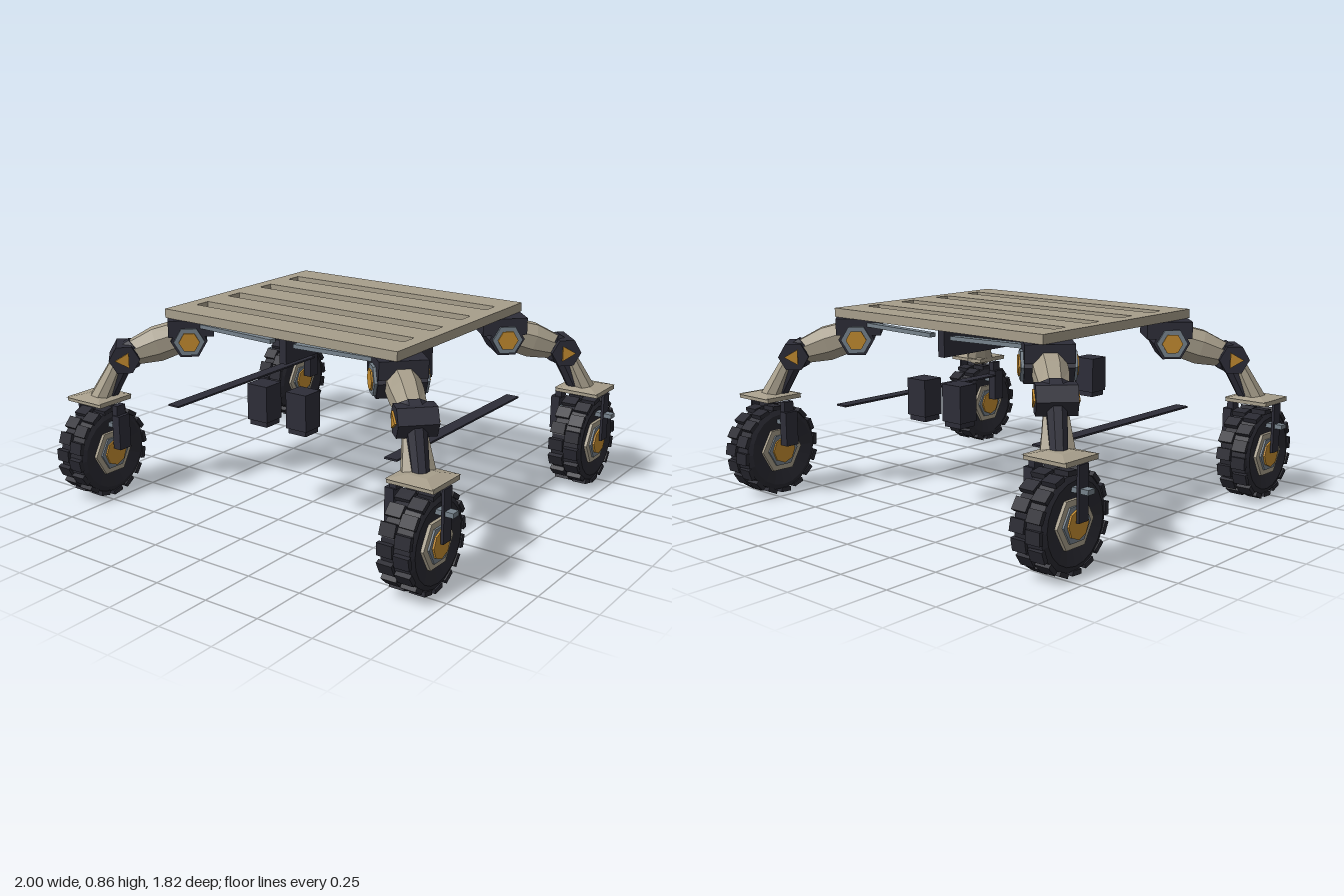
import * as THREE from 'three';

const paint = (name, color) => Object.assign(new THREE.MeshStandardMaterial({ color, flatShading: true }), { name });

export function createModel() {
  const beige = paint('beige panels', 0xa79e8b);
  const dark = paint('dark metal', 0x2d2d38);
  const tyreMat = paint('tyre rubber', 0x292931);
  const steel = paint('blue grey steel', 0x76828c);
  const orange = paint('orange caps', 0xc48c30);
  const model = new THREE.Group();
  model.name = 'rover';

  const add = (parent, name, geo, mat, x = 0, y = 0, z = 0) => {
    const m = new THREE.Mesh(geo, mat);
    m.name = name;
    m.position.set(x, y, z);
    parent.add(m);
    return m;
  };
  const box = (parent, name, mat, w, h, d, x, y, z) =>
    add(parent, name, new THREE.BoxGeometry(w, h, d), mat, x, y, z);
  // Prism lying along x
  const axle = (parent, name, mat, r, len, sides, x = 0, y = 0, z = 0) =>
    add(parent, name, new THREE.CylinderGeometry(r, r, len, sides).rotateZ(Math.PI / 2), mat, x, y, z);
  // Faceted limb between two points, with [halfWidth, halfDepth] at equal steps
  const limb = (parent, name, mat, from, to, rings) => {
    const a = new THREE.Vector3(...from), b = new THREE.Vector3(...to);
    const n = rings.length - 1;
    const geo = new THREE.CylinderGeometry(1, 1, 1, 8, n).rotateY(Math.PI / 8);
    const p = geo.attributes.position;
    for (let i = 0; i < p.count; i++) {
      const [w, d] = rings[Math.round((p.getY(i) + 0.5) * n)];
      p.setX(i, p.getX(i) * w);
      p.setZ(i, p.getZ(i) * d);
    }
    geo.scale(1, a.distanceTo(b), 1);
    const m = add(parent, name, geo, mat);
    m.position.copy(a).add(b).multiplyScalar(0.5);
    m.quaternion.setFromUnitVectors(new THREE.Vector3(0, 1, 0), b.sub(a).normalize());
    return m;
  };

  // Slotted deck
  const outline = new THREE.Shape();
  const rect = (path, x, z0, z1) => path.moveTo(-x, z0).lineTo(x, z0).lineTo(x, z1).lineTo(-x, z1).closePath();
  rect(outline, 0.61, -0.51, 0.51);
  for (const [z0, z1] of [[-0.37, -0.295], [-0.155, -0.075], [0.075, 0.155], [0.295, 0.37]]) {
    const slot = new THREE.Path();
    rect(slot, 0.55, z0, z1);
    outline.holes.push(slot);
  }
  const deck = new THREE.ExtrudeGeometry(outline, { depth: 0.04, bevelEnabled: false }).rotateX(-Math.PI / 2);
  add(model, 'deck', deck, beige, 0, 0.815, 0);
  box(model, 'centreBeam', dark, 0.036, 0.125, 0.9, 0, 0.7525, 0);

  for (const sx of [-1, 1]) {
    // Low side rails
    box(model, 'sideRail', dark, 0.06, 0.008, 1.02, sx * 0.585, 0.409, 0);
    for (const sz of [-1, 1]) {
      // Hanging equipment boxes and their feet
      box(model, 'equipmentBox', dark, 0.104, 0.16, 0.1, sx * 0.104, 0.51, sz * 0.45);
      box(model, 'equipmentFoot', dark, 0.09, 0.022, 0.085, sx * 0.104, 0.418, sz * 0.45);
      // Brace under the deck
      box(model, 'deckBrace', steel, 0.46, 0.018, 0.035, sx * 0.29, 0.783, sz * 0.44).rotation.z = sx * 0.02;
      buildLeg(sx, sz);
      buildWheel(sx, sz);
    }
  }

  // Leg: local +z points out along the deck diagonal
  function buildLeg(sx, sz) {
    const leg = new THREE.Group();
    leg.name = 'leg';
    leg.position.set(sx * 0.56, 0.72, sz * 0.42);
    leg.rotation.y = Math.atan2(sx * 0.71, sz * 0.69);
    model.add(leg);

    box(leg, 'hipMount', dark, 0.2, 0.075, 0.2, 0, 0.057, -0.01);
    axle(leg, 'hipJoint', dark, 0.08, 0.2, 6);
    limb(leg, 'upperLeg', beige, [0, 0.005, 0.03], [0, -0.065, 0.25],
      [[0.075, 0.075], [0.072, 0.082], [0.06, 0.058]]);
    axle(leg, 'kneeJoint', dark, 0.068, 0.16, 6, 0, -0.08, 0.285);
    limb(leg, 'kneeBlock', dark, [0, -0.035, 0.23], [0, -0.125, 0.31],
      [[0.06, 0.05], [0.07, 0.07], [0.055, 0.045]]);
    for (const s of [-1, 1]) {
      axle(leg, 'hipRing', steel, 0.068, 0.016, 6, s * 0.104);
      axle(leg, 'hipCap', orange, 0.046, 0.008, 6, s * 0.115);
      axle(leg, 'kneeCap', orange, 0.04, 0.008, 3, s * 0.084, -0.08, 0.285);
    }
    // Lower leg core with a cover on one face
    const face = sx * sz < 0 ? 0.025 : -0.025;
    limb(leg, 'lowerLeg', dark, [0, -0.11, 0.3 - face * 0.4], [0, -0.265, 0.375 - face * 0.4],
      [[0.042, 0.042], [0.036, 0.036]]);
    limb(leg, 'lowerLegCover', beige, [0, -0.12, 0.3 + face], [0, -0.27, 0.375 + face],
      [[0.05, 0.034], [0.06, 0.042], [0.072, 0.05]]);
  }

  // Wheel with hub, fork and top plate
  function buildWheel(sx, sz) {
    const wheel = new THREE.Group();
    wheel.name = 'wheel';
    wheel.position.set(sx * 0.855, 0.208, sz * 0.7);
    model.add(wheel);

    const profile = [[0.1, -0.06], [0.165, -0.074], [0.188, -0.064], [0.192, 0], [0.188, 0.064], [0.165, 0.074], [0.1, 0.06]];
    const tyre = new THREE.LatheGeometry(profile.map(([r, y]) => new THREE.Vector2(r, y)), 20);
    add(wheel, 'tyre', tyre.rotateZ(Math.PI / 2), tyreMat);
    // Two staggered rows of tread lugs
    for (const row of [-1, 1]) {
      for (let i = 0; i < 16; i++) {
        const a = (i + row * 0.2) * Math.PI / 8;
        const lug = box(wheel, 'treadLug', tyreMat, 0.068, 0.02, 0.052,
          row * 0.037, Math.cos(a) * 0.194, Math.sin(a) * 0.194);
        lug.rotation.x = a + 0.12;
      }
    }
    // Stepped hub on both faces
    axle(wheel, 'hubCore', dark, 0.11, 0.12, 12);
    for (const s of [-1, 1]) {
      axle(wheel, 'hubPlate', beige, 0.108, 0.02, 6, s * 0.064);
      axle(wheel, 'hubRing', steel, 0.08, 0.012, 6, s * 0.076);
      axle(wheel, 'hubCap', orange, 0.06, 0.012, 8, s * 0.084);
    }
    // Fork, crossbar and inner motor
    box(wheel, 'forkArm', dark, 0.012, 0.22, 0.056, sx * 0.104, 0.122, 0);
    box(wheel, 'crossbar', steel, 0.26, 0.02, 0.04, sx * 0.015, 0.133, 0);
    box(wheel, 'innerMotor', dark, 0.042, 0.155, 0.066, -sx * 0.129, 0.108, 0);
    box(wheel, 'motorBracket', dark, 0.03, 0.05, 0.05, -sx * 0.118, 0.205, 0);
    // Ankle plate with a shallow raised top
    box(wheel, 'anklePlate', beige, 0.206, 0.02, 0.186, 0, 0.242, 0);
    const peak = new THREE.CylinderGeometry(0.06, 0.145, 0.014, 4).rotateY(Math.PI / 4);
    add(wheel, 'ankleRise', peak, beige, 0, 0.257, 0);
  }

  return model;
}
